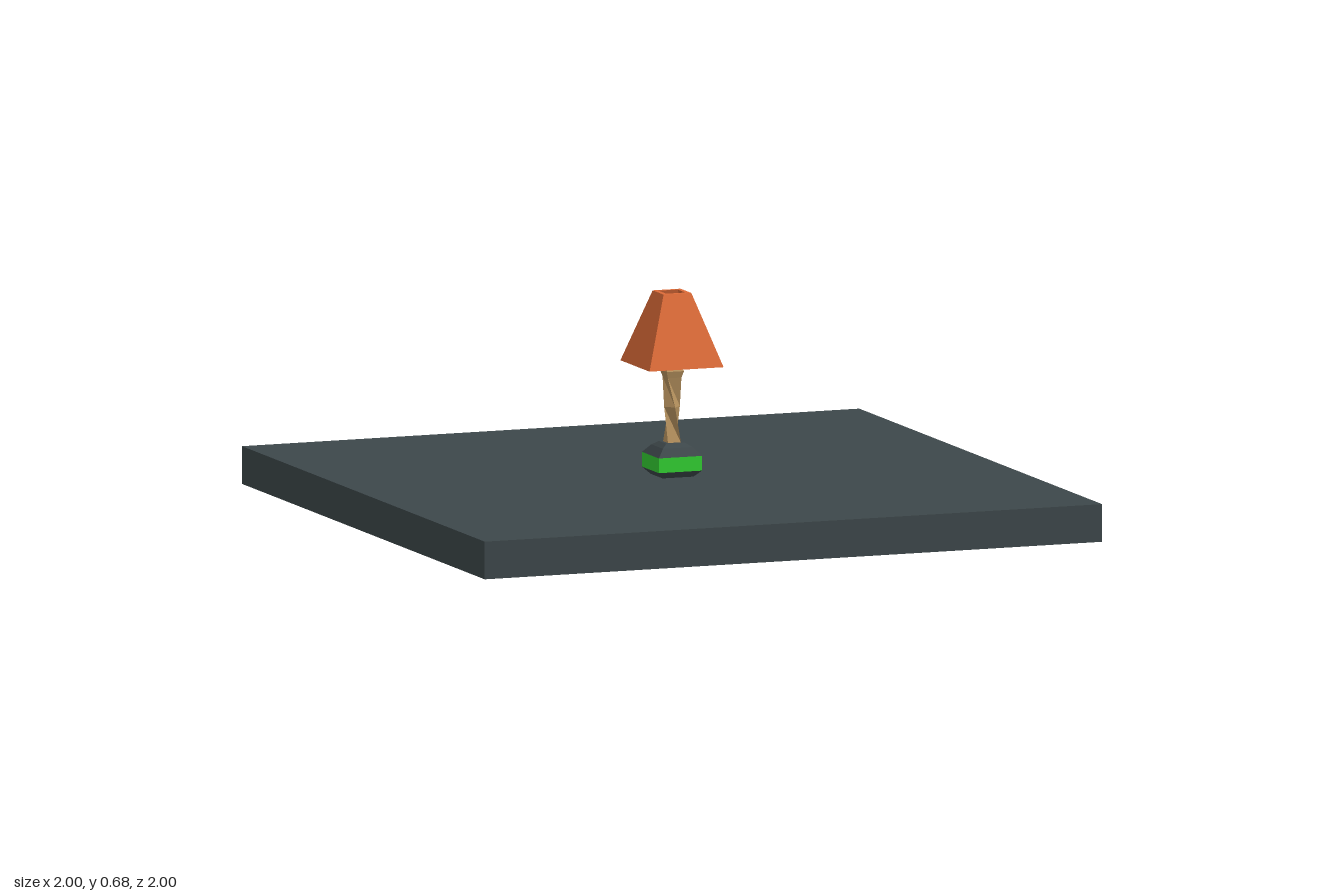
import * as THREE from 'three';

const mat = (name, color, side = THREE.FrontSide) => {
  const m = new THREE.MeshStandardMaterial({ color, side, flatShading: true });
  m.name = name;
  return m;
};

// Skin of square cross-sections; each ring is [y, half width, twist in radians]
function squareLoft(rings, capped = true) {
  const pos = [];
  const corner = ([y, h, twist = 0], i) => {
    const a = Math.PI / 4 + (i * Math.PI) / 2 + twist;
    return [Math.cos(a) * h * Math.SQRT2, y, Math.sin(a) * h * Math.SQRT2];
  };
  const quad = (a, b, c, d) => pos.push(...a, ...b, ...c, ...a, ...c, ...d);
  for (let r = 0; r < rings.length - 1; r++) {
    for (let i = 0; i < 4; i++) {
      quad(corner(rings[r], i), corner(rings[r + 1], i), corner(rings[r + 1], i + 1), corner(rings[r], i + 1));
    }
  }
  if (capped) {
    const end = rings[rings.length - 1];
    quad(...[0, 1, 2, 3].map((i) => corner(rings[0], i)));
    quad(...[3, 2, 1, 0].map((i) => corner(end, i)));
  }
  const g = new THREE.BufferGeometry();
  g.setAttribute('position', new THREE.Float32BufferAttribute(pos, 3));
  g.computeVertexNormals();
  return g;
}

export function createModel() {
  const group = new THREE.Group();
  const slate = mat('slate', 0x3d474a);
  const green = mat('green', 0x32cd32);
  const wood = mat('tan wood', 0xb8935f);
  const orange = mat('orange shade', 0xdd6b38, THREE.DoubleSide);
  const bulbGrey = mat('bulb grey', 0x7a7a62);
  const add = (name, geometry, material) => {
    const m = new THREE.Mesh(geometry, material);
    m.name = name;
    group.add(m);
    return m;
  };

  // Ground slab
  add('slab', new THREE.BoxGeometry(2, 0.115, 2), slate).position.y = 0.0575;

  // Square foot with a green band
  add('footBottom', squareLoft([[0.115, 0.05], [0.135, 0.07]]), slate);
  add('footBand', squareLoft([[0.135, 0.07], [0.18, 0.07]]), green);
  add('footTop', squareLoft([[0.18, 0.07], [0.205, 0.048], [0.217, 0.03]]), slate);

  // Stem twisting a quarter turn, flared under the neck
  add('stem', squareLoft([
    [0.215, 0.021, 0], [0.325, 0.018, Math.PI / 4], [0.415, 0.022, Math.PI / 2],
    [0.435, 0.028, Math.PI / 2], [0.442, 0.024, Math.PI / 2], [0.446, 0.011, Math.PI / 2], [0.47, 0.011, Math.PI / 2],
  ]), wood);

  // Bulb inside the shade
  const bulb = add('bulb', new THREE.SphereGeometry(0.018, 8, 6), bulbGrey);
  bulb.position.y = 0.482;

  // Open tapered shade: outer wall, top rim, inner wall
  add('shade', squareLoft([
    [0.455, 0.12], [0.675, 0.045], [0.675, 0.031], [0.455, 0.108], [0.455, 0.12],
  ], false), orange);
  return group;
}
